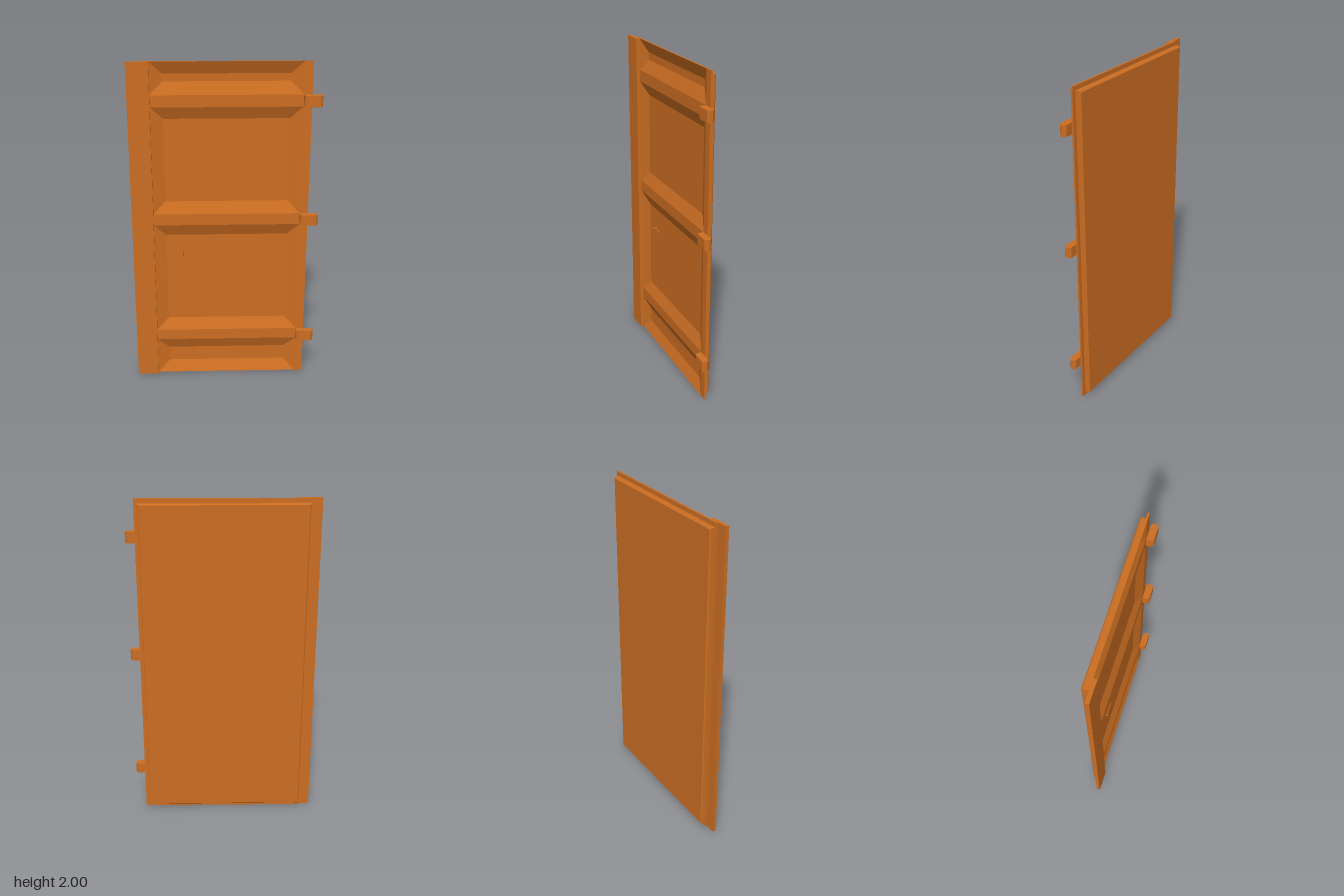
import * as THREE from 'three';

const wood = new THREE.MeshStandardMaterial({ color: 0xcc6e22 });
wood.name = 'orange wood';

// Corners of an upright rectangle, counter-clockwise from the front
const rect = (x0, x1, y0, y1, z) => [[x0, y0, z], [x1, y0, z], [x1, y1, z], [x0, y1, z]];

// Flat-shaded surface from four-cornered faces
function quadMesh(name, quads) {
  const pos = [];
  for (const [a, b, c, d] of quads) pos.push(...a, ...b, ...c, ...a, ...c, ...d);
  const g = new THREE.BufferGeometry();
  g.setAttribute('position', new THREE.Float32BufferAttribute(pos, 3));
  g.computeVertexNormals();
  const m = new THREE.Mesh(g, wood);
  m.name = name;
  return m;
}

// Faces joining one rectangle to the next one further back;
// inward turns them to face the inside of a recess
function band(front, back, inward = false) {
  return [0, 1, 2, 3].map((i) => {
    const j = (i + 1) % 4;
    return inward ? [front[i], front[j], back[j], back[i]] : [back[i], back[j], front[j], front[i]];
  });
}

function box(name, x0, x1, y0, y1, z0, z1) {
  const m = new THREE.Mesh(new THREE.BoxGeometry(x1 - x0, y1 - y0, z1 - z0), wood);
  m.position.set((x0 + x1) / 2, (y0 + y1) / 2, (z0 + z1) / 2);
  m.name = name;
  return m;
}

export function createModel() {
  const door = new THREE.Group();
  door.name = 'door';

  const left = -0.43, right = 0.45, slope = 0.073, depth = 0.03;
  const panels = [[0, 0.24], [0.308, 1.02], [1.09, 1.74], [1.81, 2]];

  // Front frame: two stiles and the rails between the panels
  const frame = [rect(-0.491, left, 0, 2, 0), rect(right, 0.498, 0, 2, 0)];
  for (let i = 0; i < 3; i++) frame.push(rect(left, right, panels[i][1], panels[i + 1][0], 0));
  door.add(quadMesh('frontFrame', frame));

  // Recessed panels with sloping borders
  for (const [y0, y1] of panels) {
    const rim = rect(left, right, y0, y1, 0);
    const floor = rect(left + slope, right - slope, y0 + slope, y1 - slope, -depth);
    door.add(quadMesh('recessedPanel', [...band(rim, floor, true), floor]));
  }

  // Thin outer lip, then the smaller body behind it with a bevelled back
  const rings = [
    rect(-0.491, 0.498, 0, 2, 0),
    rect(-0.491, 0.498, 0, 2, -0.011),
    rect(-0.489, 0.475, 0.028, 1.975, -0.011),
    rect(-0.489, 0.475, 0.028, 1.975, -0.037),
    rect(-0.483, 0.469, 0.034, 1.969, -0.043),
  ];
  const shell = [];
  for (let i = 0; i < rings.length - 1; i++) shell.push(...band(rings[i], rings[i + 1]));
  shell.push([...rings[4]].reverse());
  door.add(quadMesh('backBody', shell));

  // Cover strip along the opening edge
  door.add(box('coverStrip', -0.558, -0.43, 0, 2, 0, 0.021));

  // Hinges: bevelled blocks, drawn in plan and extruded upward
  const c = 0.012, plan = new THREE.Shape([
    [0.45, 0], [0.543, 0], [0.555, c], [0.555, 0.042 - c], [0.543, 0.042], [0.462, 0.042], [0.45, 0.042 - c],
  ].map(([x, z]) => new THREE.Vector2(x, -z)));
  const hingeGeo = new THREE.ExtrudeGeometry(plan, { depth: 0.065, bevelEnabled: false });
  hingeGeo.rotateX(-Math.PI / 2);
  for (const y of [0.242, 1.025, 1.745]) {
    const hinge = new THREE.Mesh(hingeGeo, wood);
    hinge.position.y = y;
    hinge.name = 'hinge';
    door.add(hinge);
  }

  // Small lever handle: tapered end plate and thin lever
  const handle = new THREE.Group();
  handle.name = 'handle';
  const plate = new THREE.Mesh(new THREE.CylinderGeometry(0.004, 0.017, 0.035, 4, 1), wood);
  plate.rotation.set(Math.PI / 2, Math.PI / 4, 0, 'XYZ');
  plate.scale.set(1, 1, 1);
  const plateHolder = new THREE.Group();
  plateHolder.name = 'handlePlate';
  plateHolder.add(plate);
  plate.name = 'endPlate';
  plateHolder.scale.x = 0.2;
  plateHolder.position.set(-0.255, 0.822, -depth + 0.0175);
  handle.add(plateHolder, box('lever', -0.255, -0.172, 0.82, 0.825, -0.014, -0.009));
  door.add(handle);

  return door;
}
